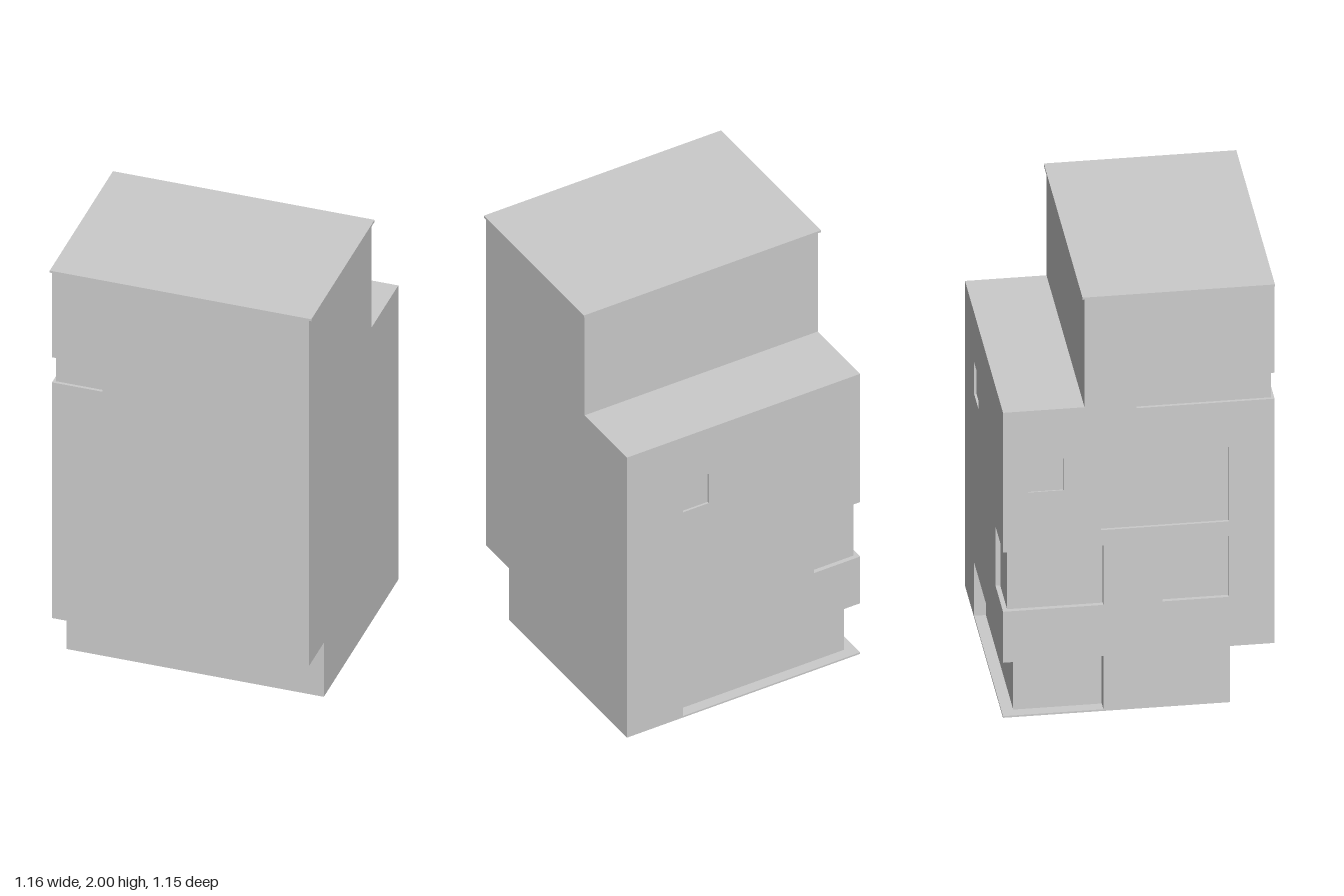
import * as THREE from 'three';

const X = 0.57, Z = 0.575;            // half width and half depth of the block
const EAVE = 1.99, TERRACE = 1.467;   // wall top and rear terrace heights
const TOE_Y = 0.27, TOE_Z = 0.385, UPPER_Z = -0.23;

const material = new THREE.MeshStandardMaterial({ color: 0xcccccc, side: THREE.DoubleSide });

const rect = (u0, v0, u1, v1) => [[u0, v0], [u1, v0], [u1, v1], [u0, v1]];
const toPoints = (list) => list.map(([u, v]) => new THREE.Vector2(u, v));

// Flat panel perpendicular to an axis. 2D points are (z,y) for x, (x,z) for y, (x,y) for z.
function panel(parent, name, axis, at, outline, holes = []) {
  const shape = new THREE.Shape(toPoints(outline));
  holes.forEach((h) => shape.holes.push(new THREE.Path(toPoints(h))));
  const geometry = new THREE.ShapeGeometry(shape);
  const p = geometry.attributes.position;
  for (let i = 0; i < p.count; i++) {
    const u = p.getX(i), v = p.getY(i);
    if (axis === 'x') p.setXYZ(i, at, v, u);
    else if (axis === 'y') p.setXYZ(i, u, at, v);
    else p.setXYZ(i, u, v, at);
  }
  geometry.computeVertexNormals();
  const mesh = new THREE.Mesh(geometry, material);
  mesh.name = name;
  parent.add(mesh);
}

// Pane set back from a wall, with its four reveals
function windowRecess(parent, name, axis, at, depth, [u0, v0, u1, v1]) {
  const g = new THREE.Group();
  g.name = name;
  const inner = at + depth;
  panel(g, 'pane', axis, inner, rect(u0, v0, u1, v1));
  for (const u of [u0, u1]) panel(g, 'jamb', axis === 'x' ? 'z' : 'x', u, rect(at, v0, inner, v1));
  for (const v of [v0, v1]) {
    panel(g, 'sill', 'y', v, axis === 'x' ? rect(at, u0, inner, u1) : rect(u0, at, u1, inner));
  }
  parent.add(g);
}

// Recess wrapping round a vertical corner of the right wall (side 1 front, -1 back)
function cornerRecess(parent, name, side, y0, y1, xEnd, zEnd, depth) {
  const g = new THREE.Group();
  g.name = name;
  const z = side * Z, xi = -X + depth, zi = z - side * depth;
  panel(g, 'sidePane', 'x', xi, rect(zi, y0, zEnd, y1));
  panel(g, 'facePane', 'z', zi, rect(xi, y0, xEnd, y1));
  panel(g, 'sideJamb', 'z', zEnd, rect(-X, y0, xi, y1));
  panel(g, 'faceJamb', 'x', xEnd, rect(z, y0, zi, y1));
  for (const y of [y0, y1]) {
    panel(g, 'ledge', 'y', y, [[-X, zEnd], [-X, z], [xEnd, z], [xEnd, zi], [xi, zi], [xi, zEnd]]);
  }
  parent.add(g);
}

export function createModel() {
  const model = new THREE.Group();
  model.name = 'building';

  // Corner recesses: heights and how far they run along each wall
  const slot = { y0: 1.445, y1: 1.57, x: -0.345, z: -0.01 };
  const mid = { y0: 0.51, y1: 0.795, x: -0.345, z: -0.15 };
  const porch = { y0: 0.008, y1: 0.265, x: 0.297, z: -0.15 };

  // Windows on the right and back walls
  const largeWindow = [-0.16, 0.87, 0.38, 1.228];
  const smallWindow = [0.1, 0.507, 0.38, 0.8];
  const narrowWindow = [-0.47, 1.075, -0.32, 1.228];
  const backWindow = [0.17, 1.075, 0.297, 1.228];

  // Side walls share one stepped profile
  const step = [[-Z, 0], [TOE_Z, 0], [TOE_Z, TOE_Y], [Z, TOE_Y]];
  const head = [[Z, EAVE], [UPPER_Z, EAVE], [UPPER_Z, TERRACE], [-Z, TERRACE]];
  // Notch outline cut in from a wall edge, listed from bottom to top
  const notch = (edge, r, end) => [[edge, r.y0], [end, r.y0], [end, r.y1], [edge, r.y1]];

  panel(model, 'leftWall', 'x', X, [...step, ...head]);
  panel(model, 'rightWall', 'x', -X, [
    ...step, ...notch(Z, slot, slot.z), ...head,
    ...notch(-Z, mid, mid.z).reverse(), ...notch(-Z, porch, porch.z).reverse(),
  ], [largeWindow, smallWindow, narrowWindow].map((w) => rect(...w)));

  // Front and back walls
  panel(model, 'frontWall', 'z', Z,
    [[X, EAVE], [X, TOE_Y], [-X, TOE_Y], ...notch(-X, slot, slot.x), [-X, EAVE]]);
  panel(model, 'backWall', 'z', -Z, [
    [X, TERRACE], [X, 0], [-X, 0],
    ...notch(-X, porch, porch.x), ...notch(-X, mid, mid.x), [-X, TERRACE],
  ], [rect(...backWindow)]);
  panel(model, 'upperBackWall', 'z', UPPER_Z, rect(-X, TERRACE, X, EAVE));
  panel(model, 'groundFloorFront', 'z', TOE_Z, rect(-X, 0, X, TOE_Y));

  // Horizontal surfaces
  panel(model, 'base', 'y', 0, rect(-X, -Z, X, TOE_Z));
  panel(model, 'overhangSoffit', 'y', TOE_Y, rect(-X, TOE_Z, X, Z));
  panel(model, 'terrace', 'y', TERRACE, rect(-X, -Z, X, UPPER_Z));

  // Recesses
  cornerRecess(model, 'frontCornerWindow', 1, slot.y0, slot.y1, slot.x, slot.z, 0.014);
  cornerRecess(model, 'backCornerWindow', -1, mid.y0, mid.y1, mid.x, mid.z, 0.02);
  cornerRecess(model, 'cornerPorch', -1, porch.y0, porch.y1, porch.x, porch.z, 0.05);
  windowRecess(model, 'largeWindow', 'x', -X, 0.013, largeWindow);
  windowRecess(model, 'smallWindow', 'x', -X, 0.018, smallWindow);
  windowRecess(model, 'narrowWindow', 'x', -X, 0.006, narrowWindow);
  windowRecess(model, 'backWindow', 'z', -Z, 0.01, backWindow);

  // Thin roof slab with a slight overhang
  const roof = new THREE.Mesh(new THREE.BoxGeometry(1.16, 0.01, Z + 0.24), material);
  roof.name = 'roof';
  roof.position.set(0, 1.995, (Z - 0.24) / 2);
  model.add(roof);

  return model;
}
